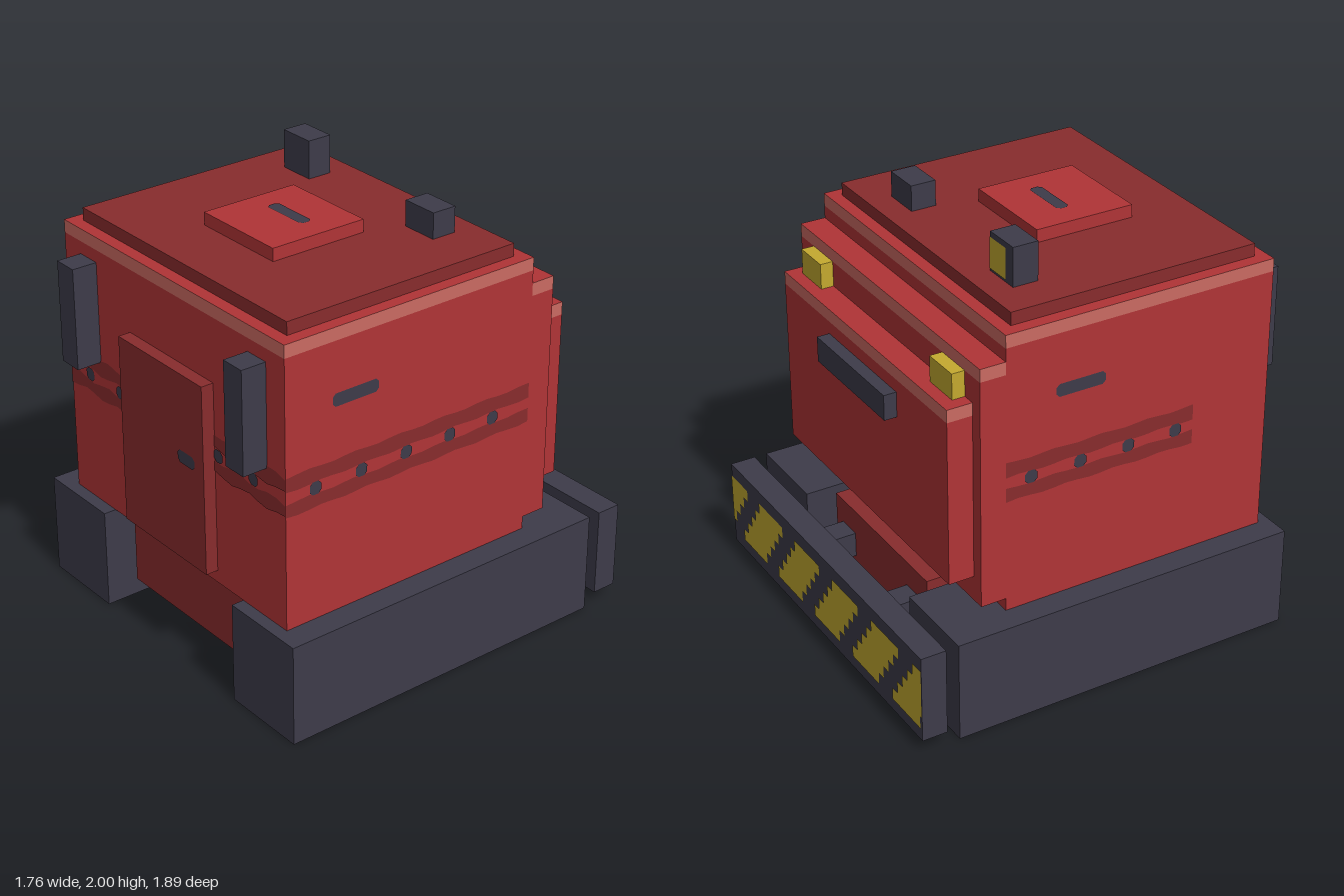
import * as THREE from 'three';

export function createModel() {
  const mat = (name, color) => {
    const m = new THREE.MeshStandardMaterial({ color });
    m.name = name;
    return m;
  };
  const red = mat('red', 0xb03436), darkRed = mat('dark red', 0x882c2d);
  const pink = mat('pale red', 0xca6a62), dark = mat('slate', 0x3d3b49), yellow = mat('yellow', 0xc4a92f);

  // Everything is laid out on a grid of 1/17 unit.
  const model = new THREE.Group();
  model.name = 'cabin';
  model.scale.setScalar(1 / 17);

  function box(name, material, x0, x1, y0, y1, z0, z1) {
    const mesh = new THREE.Mesh(new THREE.BoxGeometry(x1 - x0, y1 - y0, z1 - z0), material);
    mesh.position.set((x0 + x1) / 2, (y0 + y1) / 2, (z0 + z1) / 2);
    mesh.name = name;
    model.add(mesh);
  }
  function mirrored(name, material, x0, x1, ...rest) {
    box(name + 'Left', material, x0, x1, ...rest);
    box(name + 'Right', material, -x1, -x0, ...rest);
  }
  // Block with a pale band round its upper edge
  function trimmedBlock(name, w, y0, y1, z0, z1) {
    box(name, red, -w, w, y0, y1 - 1, z0, z1);
    box(name + 'Trim', [pink, pink, red, red, pink, pink], -w, w, y1 - 1, y1, z0, z1);
  }

  // Painted flat shapes, placed on a face; local x runs to the right as seen from outside
  const turns = { front: [0, 0], left: [0, Math.PI / 2], right: [0, -Math.PI / 2], back: [0, Math.PI], top: [-Math.PI / 2, 0] };
  function paint(name, material, face, depth, points) {
    const shape = new THREE.Shape(points.map(([x, y]) => new THREE.Vector2(x, y)));
    const mesh = new THREE.Mesh(new THREE.ShapeGeometry(shape), material);
    mesh.rotation.set(...turns[face], 0);
    mesh.translateZ(depth + 0.05);
    mesh.name = name;
    model.add(mesh);
  }
  const rect = (x0, x1, y0, y1) => [[x0, y0], [x1, y0], [x1, y1], [x0, y1]];
  const pill = (x0, x1, y0, y1) => {
    const c = (y1 - y0) * 0.25;
    return [[x0 + c, y0], [x1 - c, y0], [x1, y0 + c], [x1, y1 - c], [x1 - c, y1], [x0 + c, y1], [x0, y1 - c], [x0, y0 + c]];
  };
  // Strip with slightly uneven edges
  function wavy(x0, x1, y0, y1, amp) {
    const n = Math.ceil(x1 - x0), low = [], high = [];
    for (let i = 0; i <= n; i++) {
      const x = x0 + (x1 - x0) * i / n;
      low.push([x, y0 + amp * Math.sin(x * 1.6)]);
      high.unshift([x, y1 + amp * Math.sin(x * 1.6 + 2)]);
    }
    return [...low, ...high];
  }
  // Twin dark lines with small square vents between them
  function ventBand(face, depth, x0, x1, vents, amp) {
    paint('bandLower', darkRed, face, depth, wavy(x0, x1, 17, 18.05, amp));
    paint('bandUpper', darkRed, face, depth, wavy(x0, x1, 18.95, 20.1, amp));
    for (const v of vents) paint('vent', dark, face, depth + 0.03, pill(v - 0.5, v + 0.5, 18, 19));
  }

  // Base: side skids, belly and rear bumper
  mirrored('skid', dark, 8, 15, 0, 8, -13, 15);
  box('belly', darkRed, -7, 7, 2, 8, -11, 13);
  box('bumper', dark, -15, 15, 1, 8, -16, -14);
  mirrored('bumperMount', dark, 4, 6, 4, 6, -14, -11);

  // Stepped slanting hazard stripes on the bumper
  const rows = 5, y0 = 2, rise = 5 / rows;
  const clip = x => Math.min(15, Math.max(-15, x));
  for (let s = -1; s < 5; s++) {
    for (let r = 0; r < rows; r++) {
      const x = -13.2 + s * 6 + r * 0.75;
      if (clip(x) < clip(x + 4)) {
        paint('hazardStripe', yellow, 'back', 16, rect(clip(x), clip(x + 4), y0 + r * rise, y0 + (r + 1) * rise));
      }
    }
  }

  // Cabin with two stepped blocks at the back
  trimmedBlock('cabinBody', 13, 8, 30, -8, 14);
  trimmedBlock('rearStep', 13, 9, 28, -10, -8);
  trimmedBlock('rearHousing', 12, 11, 25, -12, -10);
  box('rearHandle', dark, -5, 5, 21, 23, -13, -12);
  mirrored('rearLamp', yellow, 8, 11, 25, 27, -11, -10);

  // Roof, hatch and roof boxes
  box('roofPlate', darkRed, -12, 12, 30, 31, -7, 13);
  box('hatch', red, -4, 4, 31, 32, 0, 8);
  paint('hatchSlot', dark, 'top', 32, pill(-2, 2, -4, -3));
  box('tallRoofBox', dark, -9, -6, 31, 34, -5, -3);
  paint('roofLamp', yellow, 'back', 5, rect(6, 8.1, 31.2, 33.6));
  box('shortRoofBox', dark, 5, 8, 31, 33, -5, -3);

  // Door and front posts
  box('door', darkRed, -5, 5, 9, 24, 14, 15);
  paint('doorHandle', dark, 'front', 15, pill(2, 4, 17, 18));
  mirrored('frontPost', dark, 9, 11, 20, 28, 14, 16);

  // Painted bands and slots on the cabin walls
  ventBand('front', 14, -13, -5, [-10.4, -6.5], 0.17);
  ventBand('front', 14, 5, 13, [5.5, 9.5], 0.17);
  ventBand('left', 13, -14, 8, [-11.5, -7.5, -3.5, 0.5, 4.5], 0.07);
  ventBand('right', 13, -8, 7.5, [-6, -2, 2, 6], 0.07);
  paint('sideSlotLeft', dark, 'left', 13, pill(-10, -6, 24.1, 25.1));
  paint('sideSlotRight', dark, 'right', 13, pill(-4, 0, 24.1, 25.1));

  const group = new THREE.Group();
  group.name = 'boxyCabin';
  group.add(model);
  return group;
}
